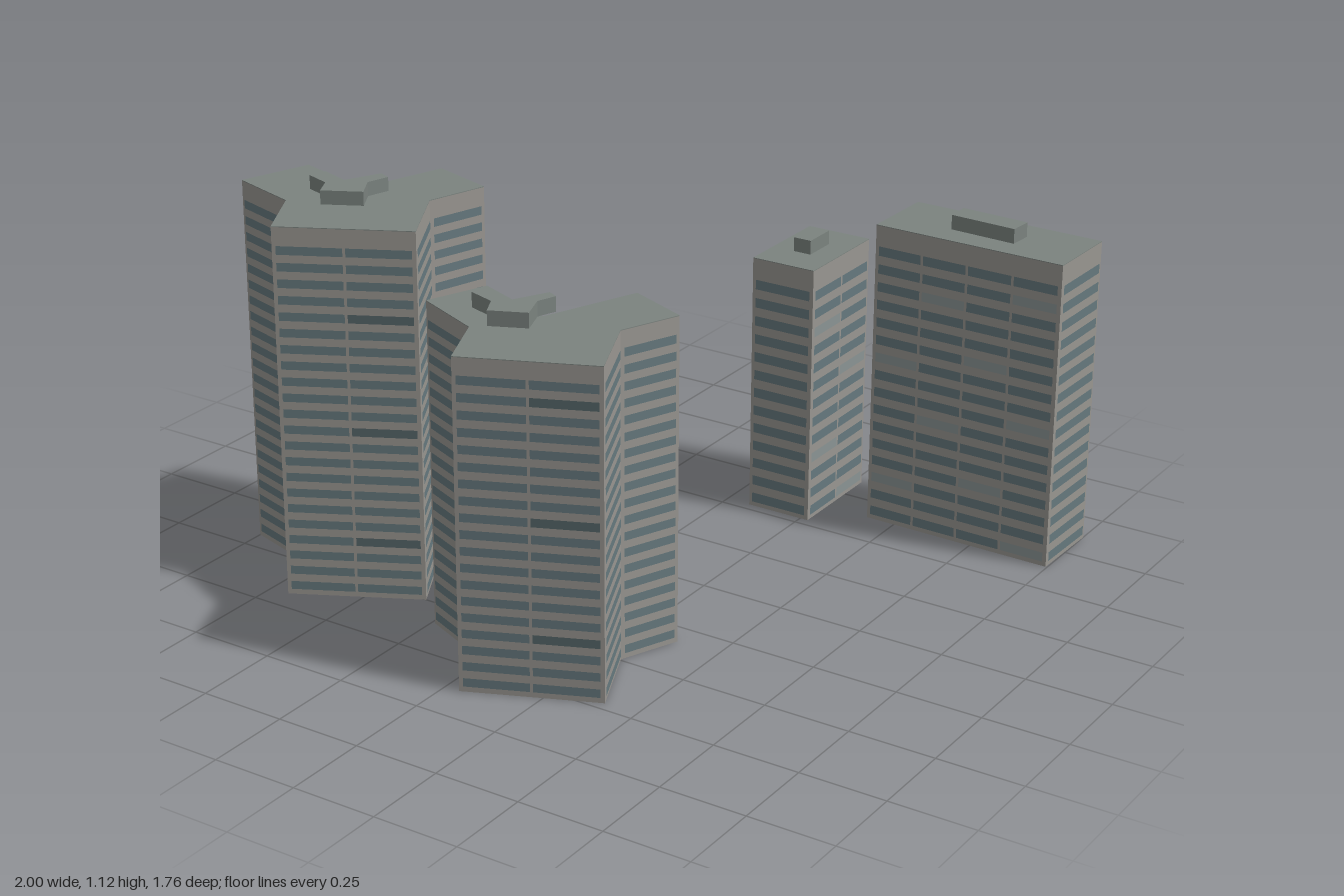
import * as THREE from 'three';
import { mergeGeometries } from 'three/addons/utils/BufferGeometryUtils.js';

const mat = (color) => new THREE.MeshStandardMaterial({ color });
const wallMat = mat(0x999691);
const roofMat = mat(0x7b837f);
const glassMats = [mat(0x66797e), mat(0x566669), mat(0x8a9494)]; // normal, dark, pale

// Footprints are [x, z] corners, clockwise seen from above
const toShape = (pts) => new THREE.Shape(pts.map(([x, z]) => new THREE.Vector2(x, -z)));

function prism(name, pts, bottom, top, material) {
  const geo = new THREE.ExtrudeGeometry(toShape(pts), { depth: top - bottom, bevelEnabled: false });
  geo.rotateX(-Math.PI / 2).translate(0, bottom, 0);
  const mesh = new THREE.Mesh(geo, material);
  mesh.name = name;
  return mesh;
}

// Rows of window bands laid just outside every wall
function windows({ pts, rows, topRow, panel, odd }) {
  const sets = [[], [], []];
  const pitch = (topRow - 0.028) / (rows - 1);
  const inset = 0.011, gap = 0.008, height = pitch * 0.52;
  pts.forEach(([x0, z0], i) => {
    const [x1, z1] = pts[(i + 1) % pts.length];
    const dx = x1 - x0, dz = z1 - z0, len = Math.hypot(dx, dz);
    const nx = dz / len, nz = -dx / len;
    const cols = Math.max(1, Math.round(len / panel));
    const step = (len - 2 * inset + gap) / cols;
    for (let r = 0; r < rows; r++) {
      for (let c = 0; c < cols; c++) {
        const t = (inset + step * c + (step - gap) / 2) / len;
        const geo = new THREE.PlaneGeometry(step - gap, height);
        geo.rotateY(Math.atan2(nx, nz));
        geo.translate(x0 + dx * t + nx * 0.002, 0.028 + pitch * r, z0 + dz * t + nz * 0.002);
        sets[odd(r, c, cols)].push(geo);
      }
    }
  });
  const group = new THREE.Group();
  group.name = 'windows';
  sets.forEach((set, i) => {
    if (!set.length) return;
    const mesh = new THREE.Mesh(mergeGeometries(set), glassMats[i]);
    mesh.name = ['windowBands', 'darkWindowBands', 'paleWindowBands'][i];
    group.add(mesh);
  });
  return group;
}

function building(spec) {
  const group = new THREE.Group();
  group.name = spec.name;
  group.add(prism('walls', spec.pts, 0, spec.height - 0.002, wallMat));
  group.add(prism('roof', spec.pts, spec.height - 0.002, spec.height, roofMat));
  group.add(prism('roofHouse', spec.hut, spec.height, spec.hutTop, roofMat));
  group.add(windows(spec));
  return group;
}

const rect = (x0, x1, z0, z1) => [[x0, z0], [x1, z0], [x1, z1], [x0, z1]];
const towerOdd = (r, c, cols) => (cols > 1 && c === 0 && r % 7 === 3 ? 1 : 0);
const slabOdd = (r, c, cols) => (cols > 1 && (r * 3 + c * 5) % 7 === 0 ? 2 : 0);

export function createModel() {
  const model = new THREE.Group();
  model.name = 'apartmentBlocks';
  const specs = [
    {
      name: 'tallThreeWingTower', height: 1.085, hutTop: 1.125,
      rows: 22, topRow: 1.018, panel: 0.18, odd: towerOdd,
      pts: [[-0.6, 0.045], [-0.41, 0.105], [-0.465, 0.28], [-0.345, 0.5], [-0.69, 0.68],
        [-0.79, 0.495], [-1, 0.43], [-0.93, 0.225], [-0.685, 0.3]],
      hut: [[-0.64, 0.265], [-0.605, 0.28], [-0.625, 0.345], [-0.585, 0.415], [-0.69, 0.47],
        [-0.72, 0.41], [-0.795, 0.385], [-0.78, 0.335], [-0.69, 0.365]],
    },
    {
      name: 'shortThreeWingTower', height: 0.945, hutTop: 0.988,
      rows: 19, topRow: 0.882, panel: 0.18, odd: towerOdd,
      pts: [[0.19, 0.25], [0.37, 0.325], [0.3, 0.495], [0.4, 0.72], [0.045, 0.875],
        [-0.035, 0.69], [-0.24, 0.6], [-0.17, 0.425], [0.08, 0.525]],
      hut: [[0.06, 0.465], [0.09, 0.48], [0.07, 0.535], [0.1, 0.615], [0, 0.66],
        [-0.03, 0.6], [-0.11, 0.575], [-0.09, 0.53], [0.005, 0.57]],
    },
    {
      name: 'smallBlock', height: 0.78, hutTop: 0.822,
      rows: 13, topRow: 0.7, panel: 0.15, odd: slabOdd,
      pts: rect(0.075, 0.275, -0.85, -0.53),
      hut: rect(0.145, 0.2, -0.745, -0.64),
    },
    {
      name: 'wideSlabBlock', height: 0.912, hutTop: 0.955,
      rows: 16, topRow: 0.835, panel: 0.16, odd: slabOdd,
      pts: [[0.415, -0.88], [1, -0.87], [0.995, -0.635], [0.41, -0.645]],
      hut: [[0.605, -0.795], [0.81, -0.785], [0.805, -0.715], [0.605, -0.725]],
    },
  ];
  specs.forEach((spec) => model.add(building(spec)));
  return model;
}
